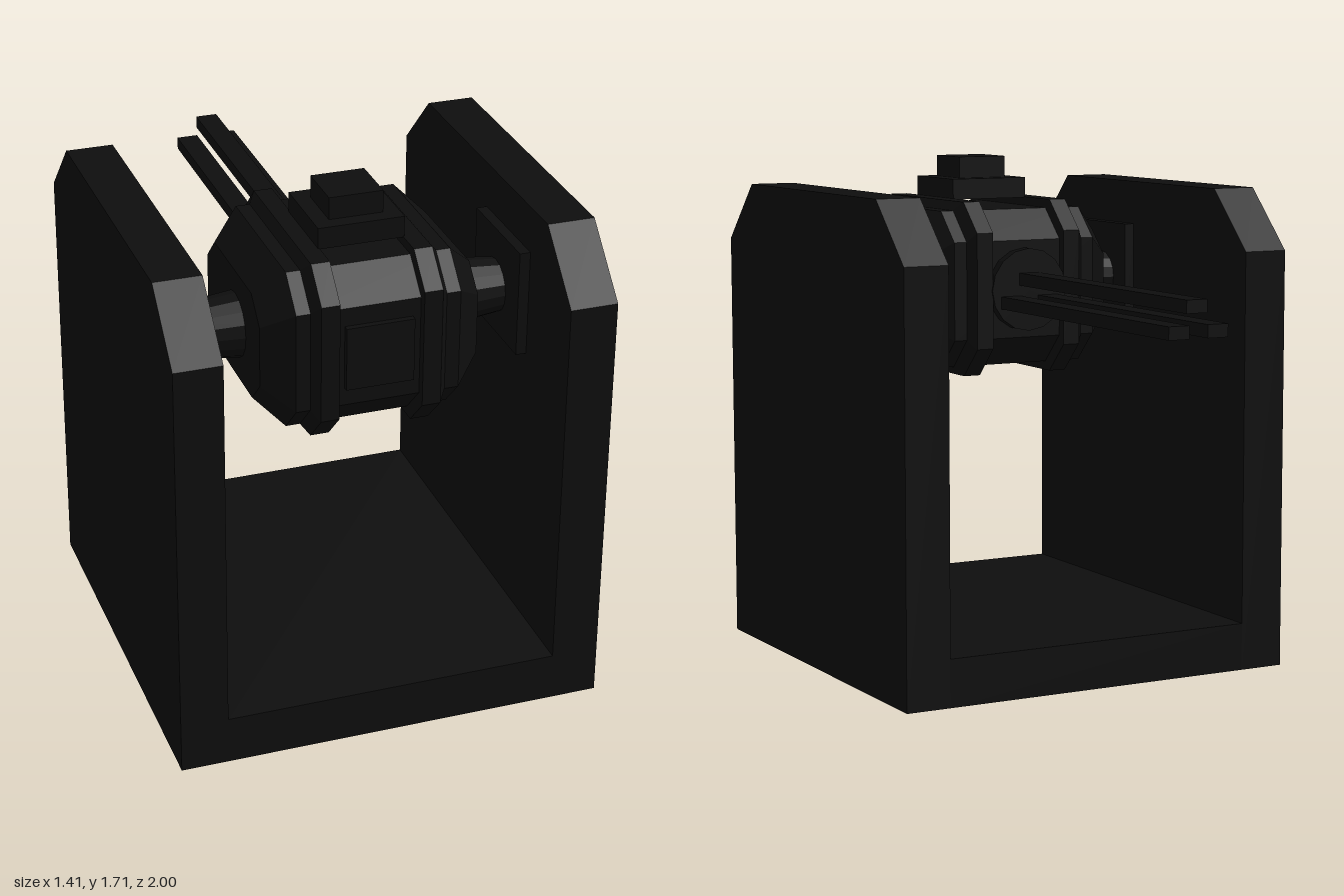
import * as THREE from 'three';

const black = new THREE.MeshStandardMaterial({ color: 0x0e0e0e, flatShading: true });
black.name = 'matte black';

const POD_Y = 1.275, POD_Z = 0.465;

// Chamfered octagon section in the y-z plane at a given x
function octagon(x, halfY, halfZ, cut) {
  const y = halfY, z = halfZ, a = y - cut, b = z - cut;
  return [[a, z], [y, b], [y, -b], [a, -z], [-a, -z], [-y, -b], [-y, b], [-a, z]]
    .map(([py, pz]) => [x, py, pz]);
}

// Closed solid through octagon sections listed in order of rising x
function loft(rings) {
  const pos = [];
  const n = rings[0].length;
  const tri = (a, b, c) => pos.push(...a, ...b, ...c);
  for (let r = 0; r < rings.length - 1; r++) {
    for (let i = 0; i < n; i++) {
      const j = (i + 1) % n;
      const a = rings[r][i], b = rings[r + 1][i], c = rings[r + 1][j], d = rings[r][j];
      tri(a, b, c);
      tri(a, c, d);
    }
  }
  const first = rings[0], last = rings[rings.length - 1];
  for (let i = 1; i < n - 1; i++) {
    tri(first[0], first[i], first[i + 1]);
    tri(last[0], last[i + 1], last[i]);
  }
  const geo = new THREE.BufferGeometry();
  geo.setAttribute('position', new THREE.Float32BufferAttribute(pos, 3));
  geo.computeVertexNormals();
  return geo;
}

export function createModel() {
  const group = new THREE.Group();
  group.name = 'gunTurret';

  function add(name, geo, x = 0, y = 0, z = 0) {
    const mesh = new THREE.Mesh(geo, black);
    mesh.name = name;
    mesh.position.set(x, y, z);
    group.add(mesh);
    return mesh;
  }
  // Box given by its limits on each axis
  function box(name, x0, x1, y0, y1, z0, z1) {
    return add(name, new THREE.BoxGeometry(x1 - x0, y1 - y0, z1 - z0),
      (x0 + x1) / 2, (y0 + y1) / 2, (z0 + z1) / 2);
  }

  // Floor between the walls
  box('floor', -0.55, 0.55, 0, 0.16, -0.41, 1);

  // Side walls with clipped upper corners, outlined in z-y
  const outline = new THREE.Shape(
    [[-1, 0], [0.41, 0], [0.41, 1.415], [0.21, 1.615], [-0.8, 1.615], [-1, 1.415]]
      .map(([z, y]) => new THREE.Vector2(z, y)));
  const wallGeo = new THREE.ExtrudeGeometry(outline, { depth: 0.155, bevelEnabled: false });
  wallGeo.rotateY(Math.PI / 2);
  add('leftWall', wallGeo, 0.55);
  add('rightWall', wallGeo, -0.705);

  // Pod body with tapered ends
  add('podBody', loft([
    octagon(-0.355, 0.18, 0.27, 0.08),
    octagon(-0.265, 0.265, 0.35, 0.1),
    octagon(0.265, 0.265, 0.35, 0.1),
    octagon(0.355, 0.18, 0.27, 0.08),
  ]), 0, POD_Y, POD_Z);

  for (const s of [1, -1]) {
    const side = s > 0 ? 'left' : 'right';

    // Raised band around the pod, bevelled on its outer edge
    const rings = [[0.135, 0.295, 0.38], [0.195, 0.295, 0.38], [0.22, 0.264, 0.349]]
      .map(([x, y, z]) => octagon(s * x, y, z, 0.1));
    add(side + 'Band', loft(s > 0 ? rings : rings.reverse()), 0, POD_Y, POD_Z);

    // Trunnion arm and its wall pad
    const arm = new THREE.CylinderGeometry(0.088, 0.108, 0.18, 16);
    arm.rotateZ(-s * Math.PI / 2);
    add(side + 'Arm', arm, s * 0.435, 1.272, 0.49);
    box(side + 'Pad', s > 0 ? 0.515 : -0.555, s > 0 ? 0.555 : -0.515, 1.11, 1.465, 0.32, 0.68);
  }

  // Front hatch panel
  box('frontPanel', -0.11, 0.11, 1.17, 1.38, 0.8, 0.835);

  // Stepped sight housing bridging the bands
  box('sightBase', -0.14, 0.14, 1.567, 1.637, 0.37, 0.65);
  box('sightTop', -0.088, 0.088, 1.637, 1.71, 0.425, 0.6);

  // Round gun mount at the back
  const mount = new THREE.CylinderGeometry(0.14, 0.14, 0.06, 16);
  mount.rotateX(Math.PI / 2);
  add('gunMount', mount, 0, POD_Y, 0.11);

  // Three barrels: one above a pair
  box('upperBarrel', -0.037, 0.037, 1.29, 1.332, -0.99, 0.12);
  box('leftBarrel', 0.033, 0.106, 1.213, 1.255, -1, 0.12);
  box('rightBarrel', -0.106, -0.033, 1.213, 1.255, -1, 0.12);

  return group;
}
